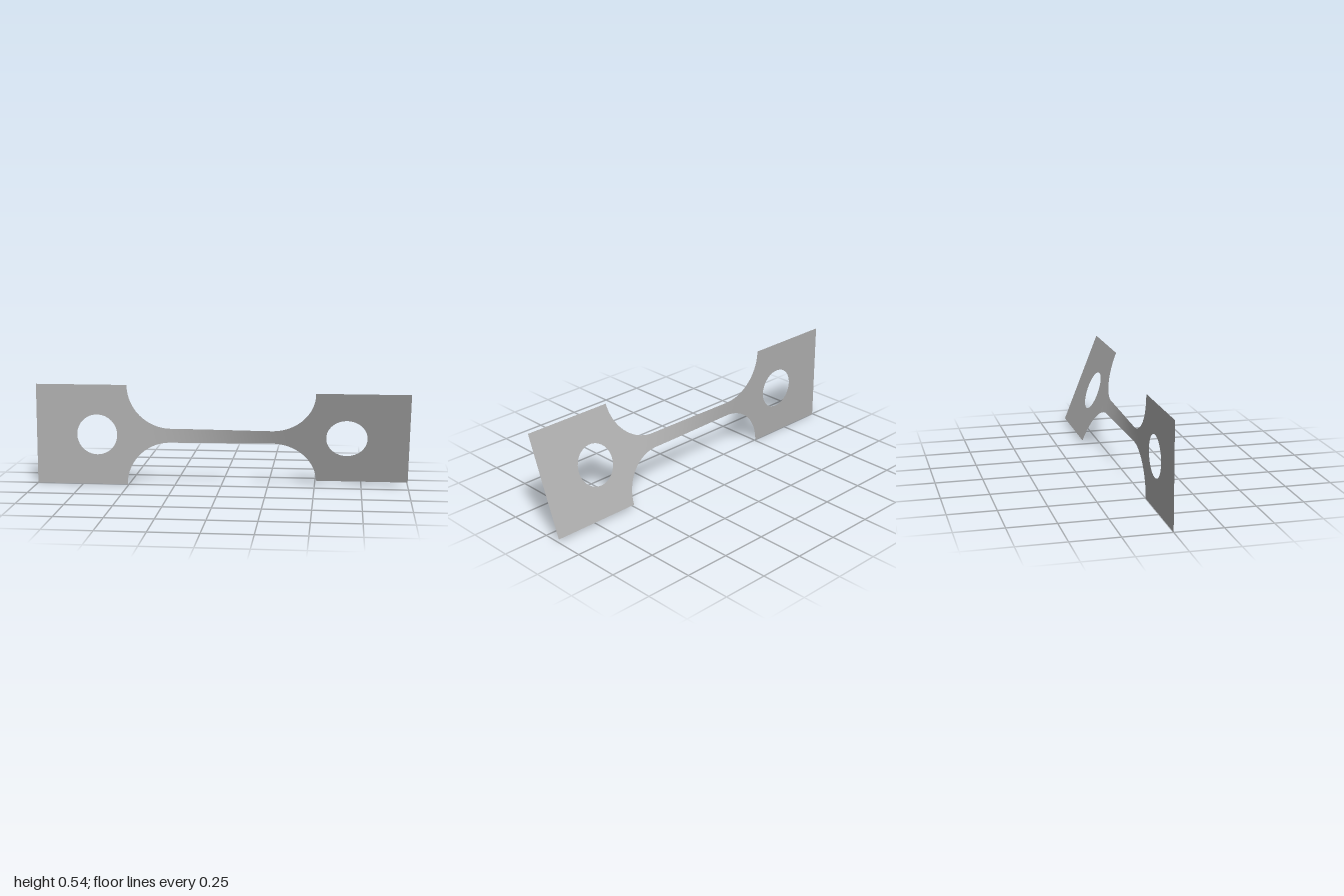
import * as THREE from 'three';

const HALF = 0.2715;          // half height of the grips
const NECK = 0.038;           // half height of the neck
const NECK_END = 0.27;        // where the neck meets the fillets
const GRIP_START = 0.507;     // where the fillets meet the grips
const TWIST = 0.377;          // total twist of the +x end, in radians

const sheetGrey = new THREE.MeshStandardMaterial({ color: 0xb0b0b0, side: THREE.DoubleSide });
sheetGrey.name = 'sheetGrey';

// Twist angle along the bar: all of it happens in and around the neck
const twistAt = (x) => TWIST * THREE.MathUtils.smoothstep(x, -0.4, 0.4);

// Rotate every vertex about the bar's long axis
function twist(geometry) {
  const p = geometry.attributes.position;
  for (let i = 0; i < p.count; i++) {
    const x = p.getX(i), y = p.getY(i), a = twistAt(x);
    p.setXYZ(i, x, y * Math.cos(a), y * Math.sin(a));
  }
  geometry.computeVertexNormals();
  return geometry;
}

// Square end plate with a round hole
function makeGrip(side) {
  const shape = new THREE.Shape();
  const a = side > 0 ? GRIP_START : -1;
  const b = side > 0 ? 1 : -GRIP_START;
  shape.moveTo(a, -HALF).lineTo(b, -HALF).lineTo(b, HALF).lineTo(a, HALF);
  shape.closePath();
  const hole = new THREE.Path();
  hole.absarc(side * 0.67, 0, 0.109, 0, Math.PI * 2, true);
  shape.holes.push(hole);
  return twist(new THREE.ShapeGeometry(shape, 32));
}

// Narrow middle strip with a quarter-round fillet at each end
function makeNeck() {
  const columns = [];
  const steps = 24, span = GRIP_START - NECK_END, rise = HALF - NECK;
  for (let i = 0; i <= steps; i++) {
    const t = (i / steps) * Math.PI / 2;
    columns.push([NECK_END + span * Math.sin(t), NECK + rise * (1 - Math.cos(t))]);
  }
  const profile = columns.slice().reverse().map(([x, h]) => [-x, h]);
  for (let i = 1; i < 30; i++) profile.push([-NECK_END + 2 * NECK_END * i / 30, NECK]);
  profile.push(...columns);

  const rows = 8;
  const geometry = new THREE.PlaneGeometry(1, 1, profile.length - 1, rows);
  const p = geometry.attributes.position;
  for (let i = 0; i < p.count; i++) {
    const [x, h] = profile[i % profile.length];
    p.setXYZ(i, x, p.getY(i) * 2 * h, 0);
  }
  return twist(geometry);
}

export function createModel() {
  const group = new THREE.Group();
  group.name = 'twistedTestStrip';
  const add = (name, geometry) => {
    const mesh = new THREE.Mesh(geometry, sheetGrey);
    mesh.name = name;
    mesh.position.y = HALF;
    group.add(mesh);
  };
  add('straightGrip', makeGrip(-1));
  add('neck', makeNeck());
  add('twistedGrip', makeGrip(1));
  return group;
}
